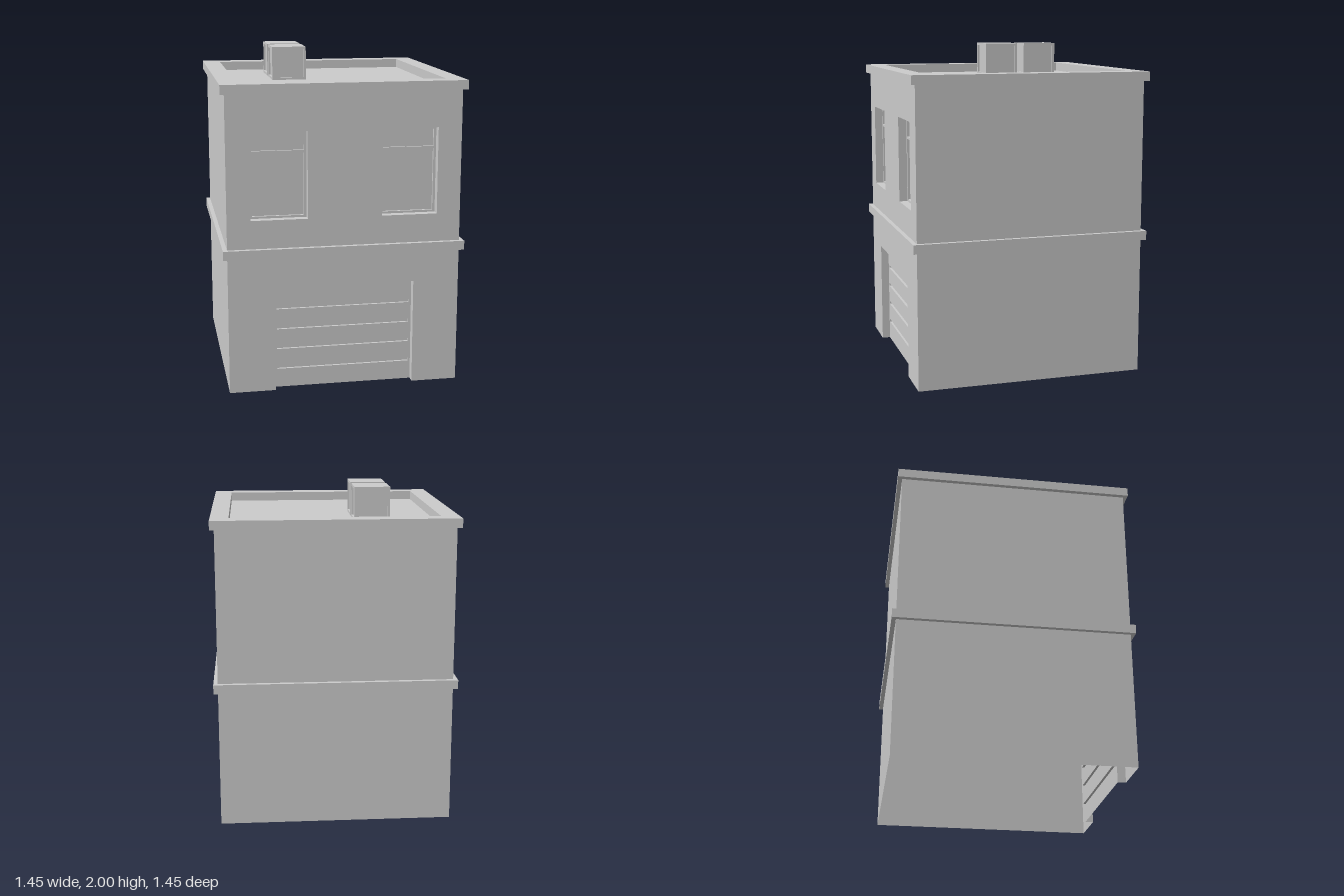
import * as THREE from 'three';

const material = new THREE.MeshStandardMaterial({ color: 0xcccccc, side: THREE.DoubleSide, flatShading: true });

function addMesh(parent, geometry, name) {
  const mesh = new THREE.Mesh(geometry, material);
  mesh.name = name;
  parent.add(mesh);
  return mesh;
}

// Joins successive four-cornered rings with quads; skip(segment, side) leaves a quad open
function loft(rings, skip = () => false) {
  const pos = [];
  for (let r = 0; r < rings.length - 1; r++) {
    for (let s = 0; s < 4; s++) {
      if (skip(r, s)) continue;
      const t = (s + 1) % 4, a = rings[r], b = rings[r + 1];
      for (const p of [a[s], a[t], b[t], a[s], b[t], b[s]]) pos.push(...p);
    }
  }
  const g = new THREE.BufferGeometry();
  g.setAttribute('position', new THREE.Float32BufferAttribute(pos, 3));
  g.computeVertexNormals();
  return g;
}

const corners = ([x0, x1, y0, y1]) => [[x0, y0], [x1, y0], [x1, y1], [x0, y1]];
const squareRing = ([h, y]) => [[-h, y, h], [h, y, h], [h, y, -h], [-h, y, -h]];

// Flat plate facing +z with rectangular openings, each with a reveal of the given depth
function plate(parent, name, rect, z, holes = [], depth = 0) {
  const toPoints = (r) => corners(r).map(([x, y]) => new THREE.Vector2(x, y));
  const [x0, x1, y0, y1] = rect;
  const notch = holes.find((h) => h[2] <= y0);
  let outline = toPoints(rect);
  if (notch) {
    // An opening that reaches the lower edge becomes part of the outline
    const [a, b, , top] = notch;
    outline = [[x0, y0], [a, y0], [a, top], [b, top], [b, y0], [x1, y0], [x1, y1], [x0, y1]]
      .map(([x, y]) => new THREE.Vector2(x, y));
  }
  const shape = new THREE.Shape(outline);
  for (const h of holes) if (h !== notch) shape.holes.push(new THREE.Path(toPoints(h)));
  addMesh(parent, new THREE.ShapeGeometry(shape).translate(0, 0, z), name);
  for (const h of holes) {
    const rings = [z, z - depth].map((d) => corners(h).map(([x, y]) => [x, y, d]));
    addMesh(parent, loft(rings, (r, s) => h === notch && s === 0), name + 'Reveal');
  }
}

function flatSquare(size, y) {
  return new THREE.PlaneGeometry(size, size).rotateX(-Math.PI / 2).translate(0, y, 0);
}

// Roof unit: cube with a shallow framed panel on each side
function createRoofUnit(z) {
  const unit = new THREE.Group();
  unit.name = 'roofUnit';
  const h = 0.106, y0 = 1.795, y1 = 2, rim = 0.015, inset = 0.012;
  const panel = [-h + rim, h - rim, y0 + rim, y1 - rim];
  for (let i = 0; i < 4; i++) {
    const side = new THREE.Group();
    side.name = 'roofUnitSide';
    side.rotation.y = i * Math.PI / 2;
    plate(side, 'roofUnitFrame', [-h, h, y0, y1], h, [panel], inset);
    plate(side, 'roofUnitPanel', panel, h - inset);
    unit.add(side);
  }
  addMesh(unit, flatSquare(2 * h, y1), 'roofUnitTop');
  unit.position.set(-0.234, 0, z);
  return unit;
}

export function createModel() {
  const model = new THREE.Group();
  model.name = 'building';
  const W = 0.698, C = 0.724, P = 0.615, roofY = 1.795;
  const recess = 0.05, inset = 0.015;

  // Hollow shell: walls, middle ledge, cornice and parapet in one profile
  const profile = [[W, 0], [W, 0.83], [C, 0.83], [C, 0.885], [W, 0.885],
    [W, 1.795], [C, 1.795], [C, 1.85], [P, 1.85], [P, roofY]];
  addMesh(model, loft(profile.map(squareRing), (r, s) => s === 0 && (r === 0 || r === 4)), 'wallsAndLedges');
  addMesh(model, flatSquare(2 * P, roofY), 'roof');

  // Ground floor front with garage door
  const door = [-0.422, 0.42, 0, 0.642];
  plate(model, 'lowerFrontWall', [-W, W, 0, 0.83], W, [door], recess);
  const grooves = [0.125, 0.252, 0.377, 0.503].map((y) => [-0.405, 0.405, y - 0.01, y + 0.01]);
  plate(model, 'garageDoor', door, W - recess, grooves, inset);
  for (const g of grooves) plate(model, 'garageDoorGroove', g, W - recess - inset);

  // Upper floor front with two windows
  const windows = [[-0.558, -0.222, 1.055, 1.574], [0.22, 0.556, 1.055, 1.574]];
  plate(model, 'upperFrontWall', [-W, W, 0.885, 1.795], W, windows, recess);
  for (const w of windows) {
    const [x0, x1] = [w[0] + 0.015, w[1] - 0.015];
    const panes = [[x0, x1, 1.068, 1.441], [x0, x1, 1.455, 1.56]];
    plate(model, 'windowFrame', w, W - recess, panes, inset);
    for (const p of panes) plate(model, 'windowPane', p, W - recess - inset);
  }

  for (const z of [-0.32, -0.063]) model.add(createRoofUnit(z));
  return model;
}
